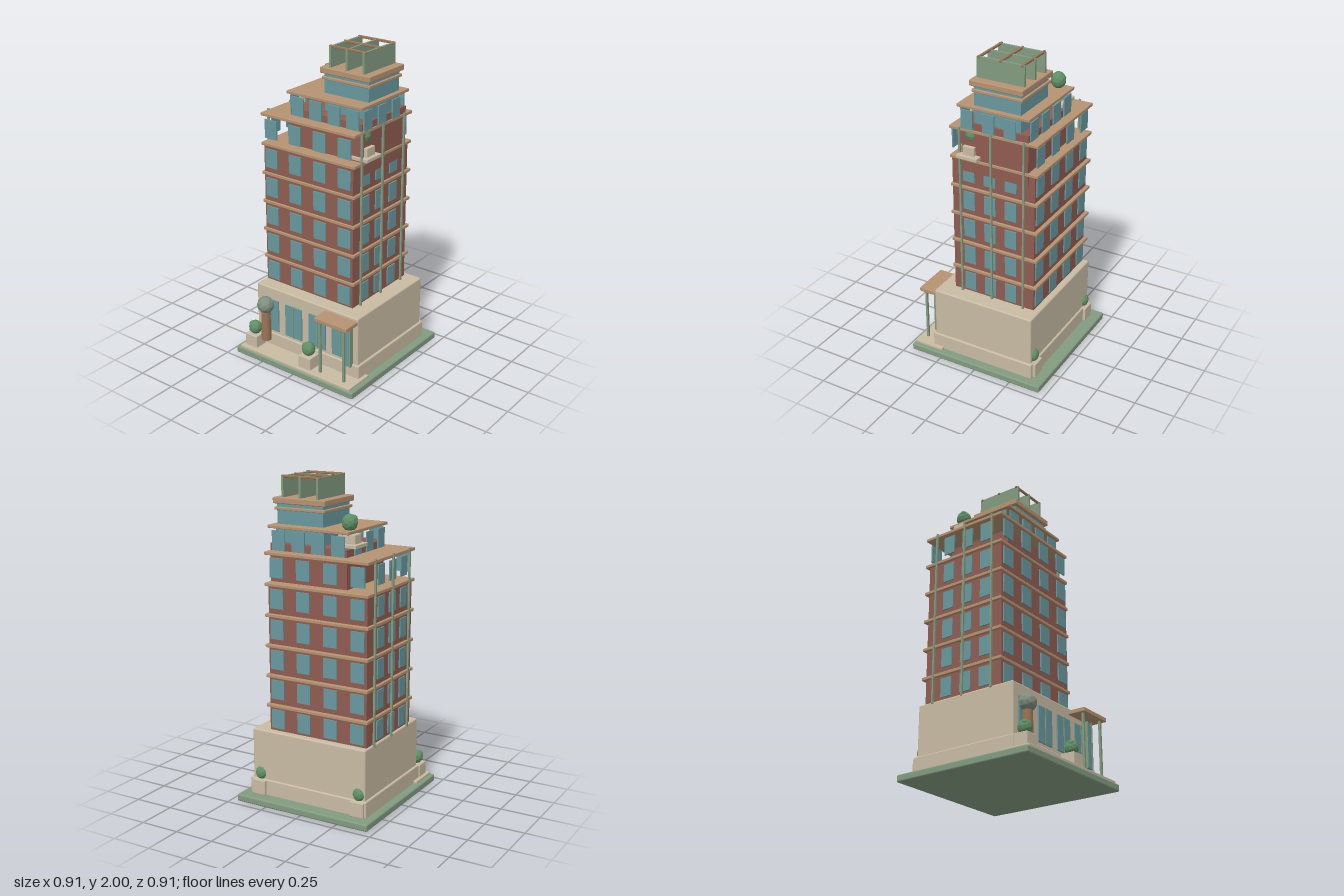
import * as THREE from 'three';
import { RoundedBoxGeometry } from 'three/addons/geometries/RoundedBoxGeometry.js';

const paint = (name, color, flatShading = false) => {
  const m = new THREE.MeshStandardMaterial({ color, flatShading });
  m.name = name;
  return m;
};

export function createModel() {
  const model = new THREE.Group();
  model.name = 'apartmentTower';

  const sage = paint('sage', 0x829b80);
  const stone = paint('stone', 0xc8bba3);
  const brick = paint('brick', 0x8f5c50);
  const glass = paint('glass', 0x68999f);
  const tan = paint('tan', 0xb59371);
  const wood = paint('wood', 0x9c7655);
  const leaf = paint('leaf', 0x5f8f65, true);
  const paleLeaf = paint('paleLeaf', 0x7f8f7e, true);

  // Box given by its limits on each axis, with optional rounded edges
  const box = (name, mat, [x0, x1], [y0, y1], [z0, z1], r = 0) => {
    const s = [x1 - x0, y1 - y0, z1 - z0];
    const geo = r ? new RoundedBoxGeometry(...s, 2, r) : new THREE.BoxGeometry(...s);
    const mesh = new THREE.Mesh(geo, mat);
    mesh.name = name;
    mesh.position.set((x0 + x1) / 2, (y0 + y1) / 2, (z0 + z1) / 2);
    model.add(mesh);
    return mesh;
  };
  const around = (c, half) => [c - half, c + half];

  const ball = (name, mat, x, y, z, r, stretch = 1) => {
    const mesh = new THREE.Mesh(new THREE.IcosahedronGeometry(r, 1), mat);
    mesh.name = name;
    mesh.position.set(x, y, z);
    mesh.scale.y = stretch;
    model.add(mesh);
  };
  const shrub = (x, y, z, r) => {
    ball('shrub', leaf, x, y, z, r, 1.1);
    ball('shrubTuft', leaf, x - r * 0.45, y + r * 0.5, z + r * 0.25, r * 0.45);
  };

  // Ring of window panes on the four sides of a storey
  const windowRing = (name, [x0, x1], [z0, z1], y, xs, zs, w, d) => {
    const t = 0.0045;
    for (const x of xs) for (const z of [z0, z1])
      box(name, glass, around(x, w / 2), y, around(z, t));
    for (const z of zs) for (const x of [x0, x1])
      box(name, glass, around(x, t), y, around(z, d / 2));
  };

  // Ground and podium
  box('lawn', sage, [-0.457, 0.457], [0, 0.045], [-0.457, 0.457], 0.01);
  box('paving', stone, [-0.43, 0.43], [0.04, 0.06], [0.25, 0.448], 0.004);
  box('plinth', stone, [-0.407, 0.407], [0.04, 0.145], [-0.377, 0.325], 0.008);
  box('podium', stone, [-0.393, 0.393], [0.06, 0.46], [-0.365, 0.315], 0.01);

  // Shop windows: paired panes with a mullion between
  for (const x of [-0.28, -0.095, 0.09, 0.27]) {
    for (const s of [-1, 1])
      box('shopPane', glass, around(x + s * 0.035, 0.03), [0.165, 0.38], [0.314, 0.323]);
    box('shopMullion', sage, around(x, 0.004), [0.165, 0.38], [0.314, 0.327]);
  }

  // Entrance with canopy
  box('entranceDoor', glass, [0.31, 0.355], [0.13, 0.417], [0.315, 0.34]);
  for (const x of [0.31, 0.355])
    box('doorFrame', sage, around(x, 0.004), [0.13, 0.417], [0.315, 0.345]);
  box('canopy', tan, [0.15, 0.39], [0.416, 0.442], [0.3, 0.426], 0.004);
  for (const x of [0.176, 0.355])
    box('canopyPost', sage, around(x, 0.007), [0.06, 0.42], around(0.4, 0.007));

  // Brick tower, floor slabs and windows
  box('towerWalls', brick, [-0.38, 0.287], [0.45, 1.365], [-0.325, 0.225]);
  for (let i = 0; i < 6; i++) {
    const y = 0.62 + i * 0.1865;
    box('floorSlab', tan, [-0.396, 0.3], around(y, 0.01), [-0.348, 0.233], 0.004);
    windowRing('towerWindow', [-0.383, 0.29], [-0.328, 0.229], [y - 0.144, y - 0.026],
      [-0.32, -0.138, 0.045, 0.227], [0.11, -0.03, -0.17], 0.09, 0.077);
  }

  // Vertical pipes on both flanks
  for (const x of [-0.395, 0.302]) for (const z of [0.163, -0.045, -0.26])
    box('facadePost', sage, around(x, 0.006), [0.45, 1.568], around(z, 0.006));

  // Set-back upper storeys
  box('upperWalls', brick, [-0.225, 0.295], [1.29, 1.605], [-0.285, 0.155]);
  windowRing('upperWindow', [-0.23, 0.302], [-0.289, 0.162], [1.565, 1.682],
    [-0.168, -0.035, 0.1, 0.235], [0.11, -0.03, -0.17], 0.088, 0.077);
  box('upperRoof', tan, [-0.24, 0.308], [1.694, 1.712], [-0.297, 0.174], 0.003);

  // Glazed crown
  box('crownGlass', glass, [-0.035, 0.28], [1.6, 1.84], [-0.23, 0.073]);
  box('crownBand', tan, [-0.05, 0.293], [1.795, 1.813], [-0.243, 0.083], 0.004);
  box('crownRoof', tan, [-0.056, 0.3], [1.833, 1.87], [-0.25, 0.093], 0.006);

  // Roof pergola
  for (const x of [0.003, 0.122, 0.241])
    box('pergolaFin', sage, around(x, 0.007), [1.865, 1.995], [-0.233, 0.072]);
  for (const z of [-0.219, -0.081, 0.058])
    box('pergolaBeam', wood, [-0.01, 0.254], [1.985, 2], around(z, 0.007), 0.004);

  // Balcony planters on the upper storeys
  for (const [x, y, z] of [[-0.2, 1.615, -0.212], [0.261, 1.385, 0.096]]) {
    box('planterShelf', stone, around(x, 0.08), [y, y + 0.022], around(z, 0.07), 0.003);
    box('planterBox', stone, around(x, 0.057), [y + 0.02, y + 0.075], around(z, 0.038), 0.003);
    shrub(x, y + 0.138, z, 0.047);
  }

  // Ground planters
  for (const [x, z] of [[-0.364, 0.375], [0.072, 0.382], [-0.35, -0.348], [0.338, -0.348]]) {
    box('groundPlanter', stone, around(x, 0.046), [0.045, 0.14], around(z, 0.046), 0.005);
    shrub(x, 0.178, z, 0.042);
  }

  // Street tree
  const trunk = new THREE.Mesh(new THREE.CylinderGeometry(0.029, 0.033, 0.24, 10), wood);
  trunk.name = 'treeTrunk';
  trunk.position.set(-0.3, 0.205, 0.345);
  model.add(trunk);
  trunk.position.y = 0.22;
  ball('treeCrown', paleLeaf, -0.3, 0.345, 0.345, 0.055);

  return model;
}
